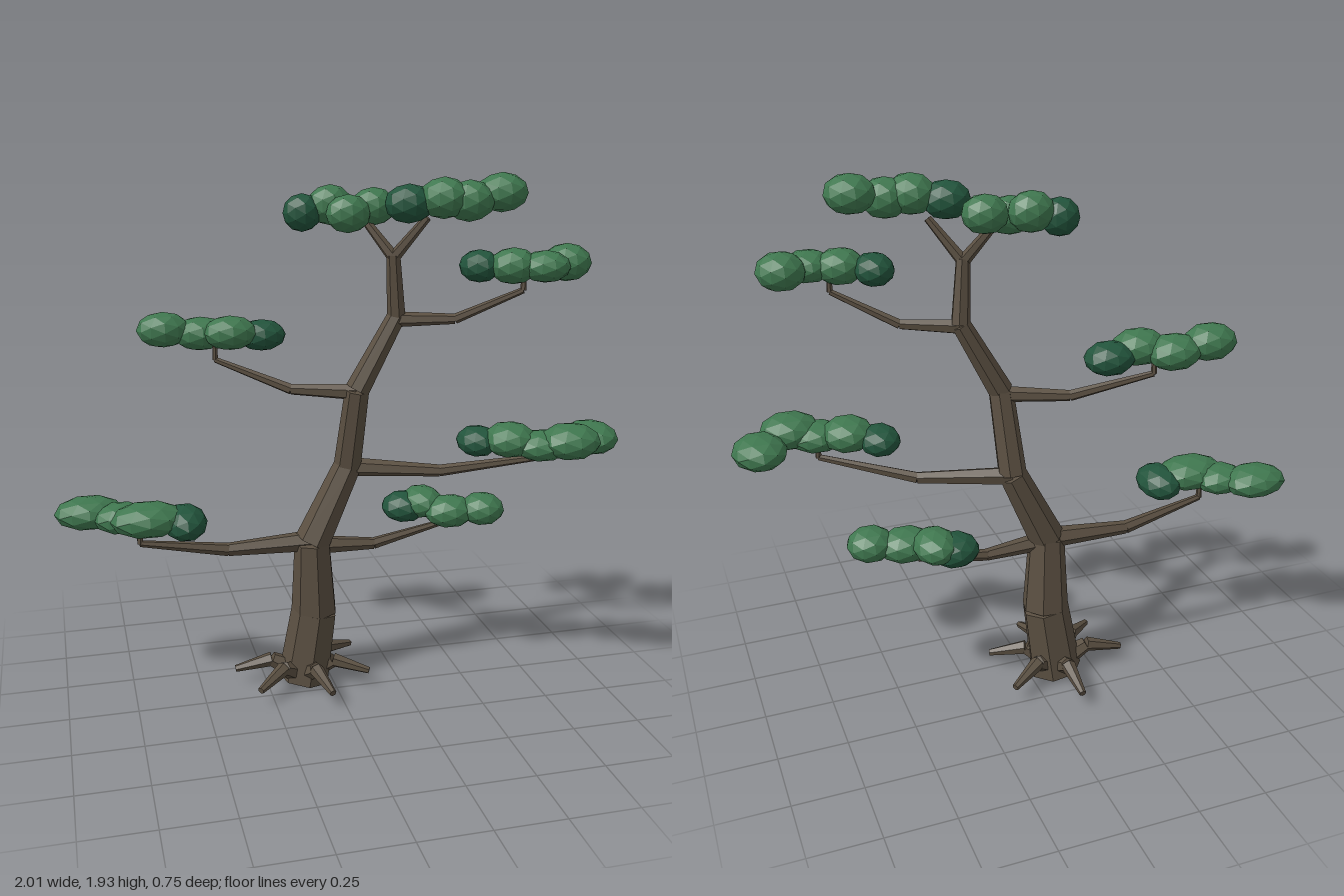
import * as THREE from 'three';

const mat = (name, color) => {
  const m = new THREE.MeshStandardMaterial({ color, flatShading: true });
  m.name = name;
  return m;
};

export function createModel() {
  const bark = mat('bark', 0x5a4f41);
  const leaf = mat('leaf green', 0x3f774f);
  const darkLeaf = mat('dark leaf green', 0x22543c);

  const tree = new THREE.Group();
  tree.name = 'tree';
  const up = new THREE.Vector3(0, 1, 0);

  // Chain of tapered straight segments through points [x, y, z, radius]
  function limb(name, points, sides) {
    const group = new THREE.Group();
    group.name = name;
    for (let i = 0; i < points.length - 1; i++) {
      const [p, q] = [points[i], points[i + 1]];
      const a = new THREE.Vector3(...p.slice(0, 3));
      const b = new THREE.Vector3(...q.slice(0, 3));
      const dir = b.clone().sub(a);
      const mesh = new THREE.Mesh(new THREE.CylinderGeometry(q[3], p[3], dir.length(), sides), bark);
      mesh.name = name + 'Segment';
      mesh.position.copy(a).add(b).multiplyScalar(0.5);
      mesh.quaternion.setFromUnitVectors(up, dir.normalize());
      group.add(mesh);
    }
    tree.add(group);
  }

  // Row of faceted leaf pads [x, y, z, rx, ry, rz]; the first one is dark
  const padShape = new THREE.IcosahedronGeometry(1, 1);
  function foliage(name, pads) {
    const group = new THREE.Group();
    group.name = name;
    pads.forEach(([x, y, z, rx, ry, rz], i) => {
      const pad = new THREE.Mesh(padShape, i === 0 ? darkLeaf : leaf);
      pad.name = 'leafPad';
      pad.position.set(x, y, z);
      pad.scale.set(rx, ry, rz);
      group.add(pad);
    });
    tree.add(group);
  }

  // Crooked trunk
  limb('trunk', [
    [-0.105, 0.02, -0.1, 0.1], [-0.065, 0.3, -0.09, 0.088], [-0.075, 0.585, -0.07, 0.068],
    [0.06, 0.87, -0.075, 0.052], [0.08, 1.17, -0.015, 0.045], [0.22, 1.43, -0.01, 0.034],
    [0.2, 1.65, 0.01, 0.025],
  ], 7);

  // Forked top
  limb('leftFork', [[0.2, 1.64, 0.01, 0.022], [0.3, 1.78, 0.07, 0.014]], 6);
  limb('rightFork', [[0.2, 1.64, 0.01, 0.022], [0.1, 1.78, -0.05, 0.014]], 6);

  // Roots: a thick knuckle rising from the base, then a thin tip
  [-90, -32, 25, 77, 139, 186].forEach((deg) => {
    const c = Math.cos(deg * Math.PI / 180), s = Math.sin(deg * Math.PI / 180);
    const at = (d, y, r) => [-0.11 + c * d, y, -0.1 + s * d, r];
    limb('root', [at(0.02, 0.045, 0.045), at(0.12, 0.1, 0.028), at(0.26, 0.068, 0.013)], 6);
  });

  // Branches, each with a short upright twig at its end
  limb('lowerRightBranch', [[-0.08, 0.585, -0.08, 0.04], [-0.39, 0.575, -0.09, 0.025],
    [-0.71, 0.635, -0.07, 0.012], [-0.71, 0.72, -0.07, 0.008]], 6);
  limb('lowerLeftBranch', [[-0.05, 0.57, -0.07, 0.035], [0.16, 0.556, -0.07, 0.022],
    [0.42, 0.605, -0.09, 0.012], [0.42, 0.66, -0.09, 0.008]], 6);
  limb('middleLeftBranch', [[0.06, 0.865, -0.08, 0.035], [0.38, 0.86, 0.035, 0.022],
    [0.7, 0.93, 0.18, 0.012], [0.7, 0.98, 0.18, 0.008]], 6);
  limb('upperRightBranch', [[0.08, 1.16, -0.02, 0.03], [-0.14, 1.16, -0.12, 0.02],
    [-0.395, 1.255, -0.25, 0.011], [-0.395, 1.34, -0.25, 0.008]], 6);
  limb('upperLeftBranch', [[0.21, 1.42, -0.01, 0.028], [0.41, 1.427, 0.07, 0.018],
    [0.62, 1.535, 0.17, 0.011], [0.62, 1.6, 0.17, 0.008]], 6);

  // Leaf clusters
  foliage('lowerRightFoliage', [
    [-0.55, 0.715, -0.035, 0.08, 0.063, 0.11], [-0.68, 0.735, -0.04, 0.135, 0.063, 0.1],
    [-0.77, 0.725, -0.11, 0.1, 0.055, 0.09], [-0.88, 0.73, -0.18, 0.125, 0.06, 0.095]]);
  foliage('lowerLeftFoliage', [
    [0.31, 0.66, -0.165, 0.09, 0.06, 0.085], [0.375, 0.68, -0.15, 0.08, 0.06, 0.1],
    [0.46, 0.66, -0.07, 0.1, 0.062, 0.085], [0.58, 0.67, -0.04, 0.085, 0.062, 0.085]]);
  foliage('middleLeftFoliage', [
    [0.49, 0.99, 0.12, 0.075, 0.055, 0.09], [0.59, 1.005, 0.18, 0.095, 0.063, 0.1],
    [0.69, 0.99, 0.23, 0.1, 0.055, 0.09], [0.78, 1.01, 0.27, 0.11, 0.065, 0.1],
    [0.905, 0.99, 0.17, 0.097, 0.06, 0.115]]);
  foliage('upperRightFoliage', [
    [-0.22, 1.337, -0.26, 0.09, 0.058, 0.08], [-0.34, 1.355, -0.235, 0.1, 0.063, 0.085],
    [-0.44, 1.345, -0.3, 0.1, 0.062, 0.085], [-0.575, 1.365, -0.3, 0.098, 0.065, 0.08]]);
  foliage('upperLeftFoliage', [
    [0.48, 1.615, 0.11, 0.07, 0.057, 0.085], [0.58, 1.62, 0.17, 0.085, 0.063, 0.085],
    [0.68, 1.62, 0.21, 0.085, 0.055, 0.09], [0.78, 1.625, 0.16, 0.085, 0.066, 0.09]]);
  foliage('topRightFoliage', [
    [-0.1, 1.79, -0.1, 0.068, 0.066, 0.065], [0.0, 1.815, -0.1, 0.08, 0.07, 0.07],
    [0.045, 1.79, -0.02, 0.08, 0.066, 0.065], [0.145, 1.81, -0.06, 0.08, 0.066, 0.075]]);
  foliage('topLeftFoliage', [
    [0.225, 1.83, 0.1, 0.085, 0.066, 0.085], [0.335, 1.85, 0.14, 0.085, 0.07, 0.095],
    [0.42, 1.84, 0.155, 0.085, 0.07, 0.085], [0.54, 1.865, 0.14, 0.088, 0.067, 0.095]]);

  return tree;
}
